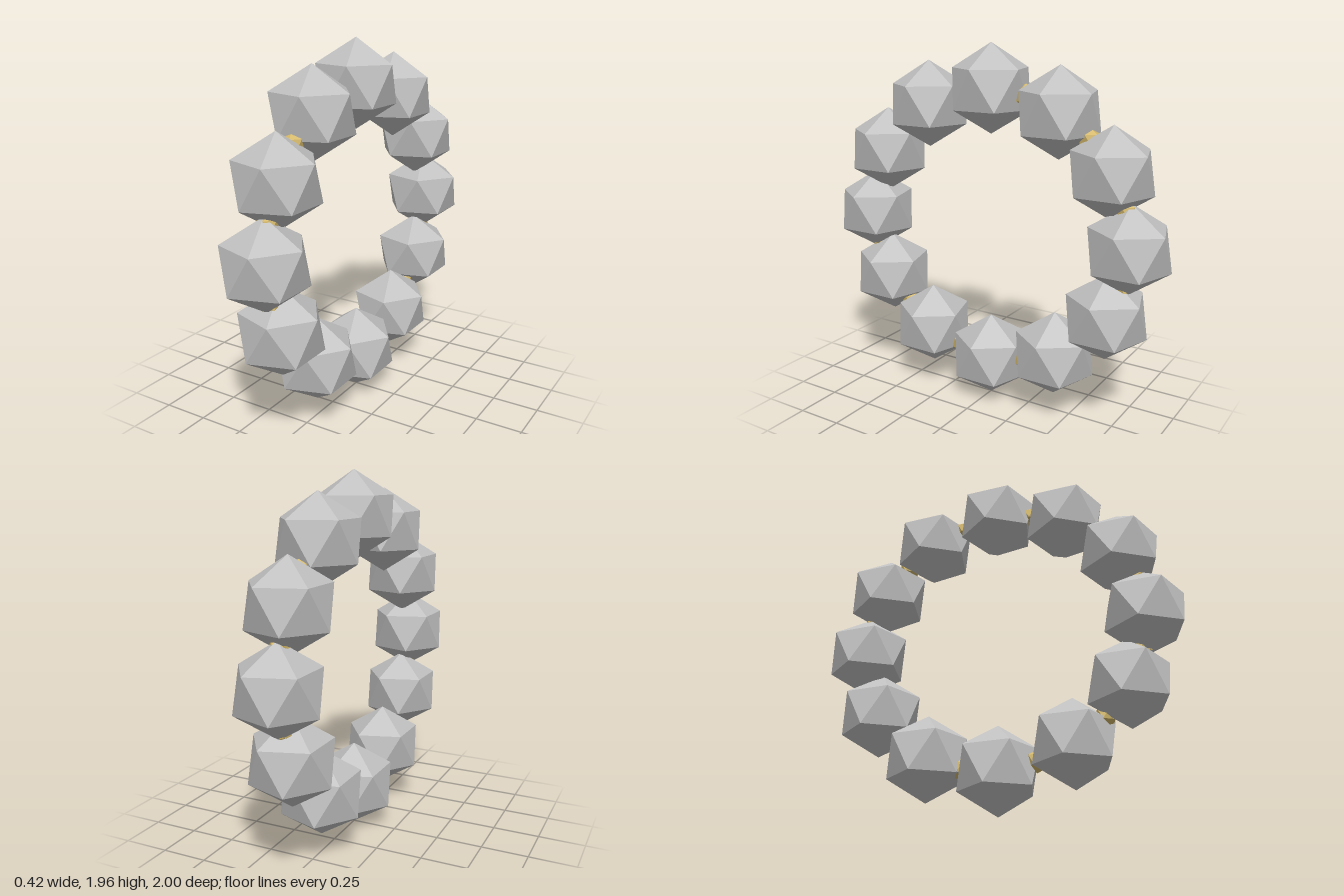
import * as THREE from 'three';

export function createModel() {
  const group = new THREE.Group();
  const silver = new THREE.MeshStandardMaterial({ name: 'silver', color: 0xc0c0c0, flatShading: true });
  const gold = new THREE.MeshStandardMaterial({ name: 'gold', color: 0xd4b86a, flatShading: true });

  // Icosahedron standing on one corner, with an upper corner towards +x
  const gem = (radius) => {
    const g = new THREE.IcosahedronGeometry(radius, 0);
    g.rotateZ(-Math.atan(2 / (1 + Math.sqrt(5))));
    return g;
  };
  const beadGeometry = gem(0.235);
  const spacerGeometry = gem(0.06);

  // Slightly squashed upright ring
  const count = 12, ringZ = 0.8, ringY = 0.745, centerY = 0.98;
  const place = (name, geometry, material, angle) => {
    const mesh = new THREE.Mesh(geometry, material);
    mesh.name = name;
    mesh.position.set(0, centerY + ringY * Math.cos(angle), ringZ * Math.sin(angle));
    group.add(mesh);
  };

  // Large beads with a small spacer in every gap
  for (let i = 0; i < count; i++) {
    const step = (Math.PI * 2) / count;
    place('bead' + (i + 1), beadGeometry, silver, i * step);
    place('spacer' + (i + 1), spacerGeometry, gold, (i + 0.5) * step);
  }
  return group;
}
